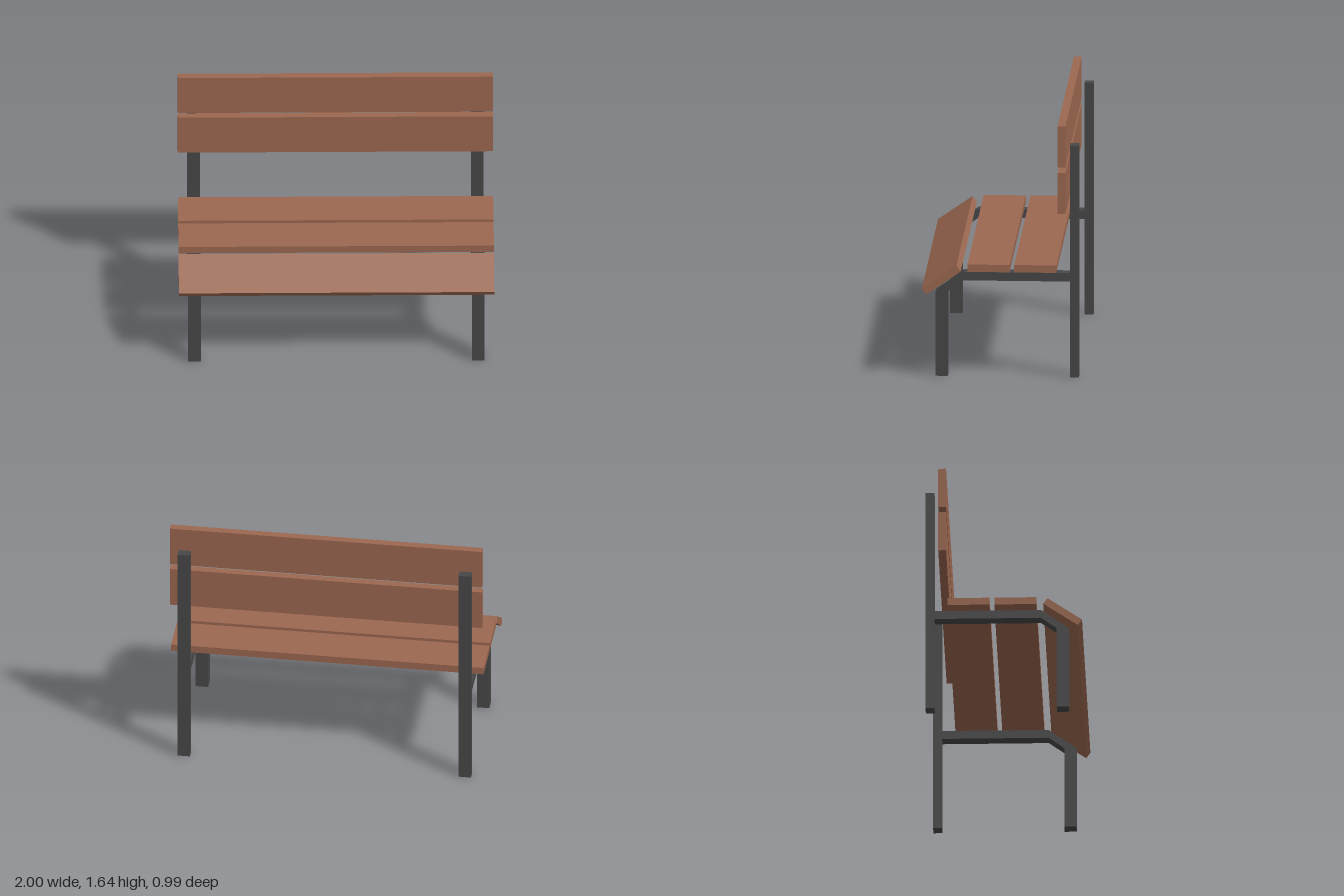
import * as THREE from 'three';

const wood = new THREE.MeshStandardMaterial({ color: 0x9c6850 });
const metal = new THREE.MeshStandardMaterial({ color: 0x484848 });

function box(name, material, size, position) {
  const mesh = new THREE.Mesh(new THREE.BoxGeometry(...size), material);
  mesh.name = name;
  mesh.position.set(...position);
  return mesh;
}

// Front leg, bent knee and seat rail as one bar; outline points are [z, y]
function frontLegAndRail() {
  const outline = [
    [0.335, 0], [0.413, 0], [0.413, 0.548], [0.235, 0.677],
    [-0.44, 0.677], [-0.44, 0.622], [0.235, 0.622], [0.335, 0.548],
  ];
  const shape = new THREE.Shape(outline.map(([z, y]) => new THREE.Vector2(z, y)));
  const geometry = new THREE.ExtrudeGeometry(shape, { depth: 0.08, bevelEnabled: false });
  geometry.translate(0, 0, -0.04).rotateY(-Math.PI / 2);
  const mesh = new THREE.Mesh(geometry, metal);
  mesh.name = 'frontLegAndRail';
  return mesh;
}

export function createModel() {
  const bench = new THREE.Group();
  bench.name = 'bench';

  // Side frames
  for (const side of [1, -1]) {
    const frame = new THREE.Group();
    frame.name = side > 0 ? 'leftFrame' : 'rightFrame';
    frame.position.x = side * 0.9;
    frame.add(frontLegAndRail());
    frame.add(box('backPost', metal, [0.08, 1.505, 0.057], [0, 0.7525, -0.4685]));
    bench.add(frame);
  }

  // Flat seat planks
  for (const z of [0.074, -0.223]) {
    bench.add(box('seatPlank', wood, [2, 0.048, 0.267], [0, 0.715, z]));
  }

  // Sloping front plank
  const frontPlank = box('frontSeatPlank', wood, [2, 0.047, 0.267], [0, 0.636, 0.374]);
  frontPlank.rotation.x = 0.606;
  bench.add(frontPlank);

  // Backrest planks
  for (const y of [1.208, 1.511]) {
    bench.add(box('backrestPlank', wood, [2, 0.267, 0.05], [0, y, -0.39]));
  }

  return bench;
}
